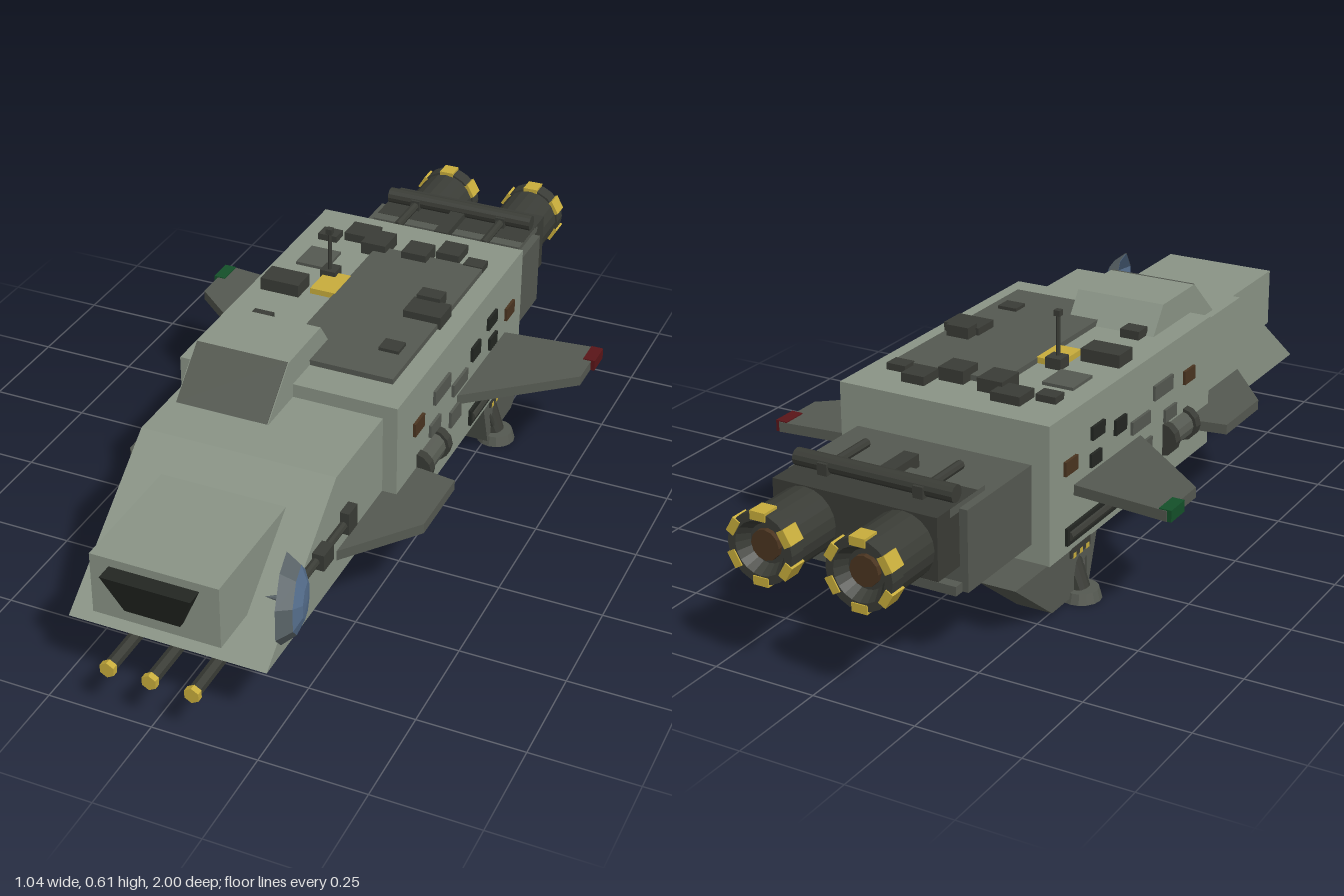
import * as THREE from 'three';

const mat = (color, side = THREE.FrontSide) =>
  new THREE.MeshStandardMaterial({ color, side, flatShading: true });
const HULL = mat(0x8a9486), MID = mat(0x555951), DARK = mat(0x3a3c36), BLACK = mat(0x232622),
  GOLD = mat(0xc8ad3c), BLUE = mat(0x566f8e, THREE.DoubleSide), RIM = mat(0x5a6468, THREE.DoubleSide),
  RED = mat(0x5a1518), GREEN = mat(0x14502a), RUST = mat(0x4a3420);

export function createModel() {
  const root = new THREE.Group();
  root.name = 'gunship';

  const add = (name, geo, material, x = 0, y = 0, z = 0, parent = root) => {
    const m = new THREE.Mesh(geo, material);
    m.name = name;
    m.position.set(x, y, z);
    parent.add(m);
    return m;
  };
  const box = (name, material, x, y, z, w, h, d, parent) =>
    add(name, new THREE.BoxGeometry(w, h, d), material, x, y, z, parent);
  const extrude = (pts, depth) => {
    const g = new THREE.ExtrudeGeometry(
      new THREE.Shape(pts.map(([a, b]) => new THREE.Vector2(a, b))), { depth, bevelEnabled: false });
    return g.translate(0, 0, -depth / 2);
  };
  // side profile of [z, y] points, given a width along x
  const profile = (name, material, pts, width, x = 0) =>
    add(name, extrude(pts, width).rotateY(-Math.PI / 2), material, x);
  // plan outline of [x, z] points, given a thickness along y
  const plan = (name, material, pts, thick, y) =>
    add(name, extrude(pts, thick).rotateX(Math.PI / 2), material, 0, y);
  // round bar between two points
  const rod = (name, material, a, b, r0, r1 = r0, sides = 12) => {
    const p = new THREE.Vector3(...a), q = new THREE.Vector3(...b);
    const m = add(name, new THREE.CylinderGeometry(r1, r0, p.distanceTo(q), sides), material);
    m.position.copy(p).add(q).multiplyScalar(0.5);
    m.quaternion.setFromUnitVectors(new THREE.Vector3(0, 1, 0), q.sub(p).normalize());
    return m;
  };

  // hull
  box('mainHull', HULL, 0, 0.302, -0.08, 0.54, 0.333, 0.8);
  profile('noseHull', HULL, [[0.32, 0.165], [0.92, 0.165], [0.57, 0.435], [0.32, 0.435]], 0.47);
  profile('upperCabin', HULL, [[0.12, 0.46], [0.12, 0.468], [0.17, 0.535], [0.34, 0.535],
    [0.45, 0.435], [0.45, 0.42], [0.12, 0.42]], 0.23, -0.1);
  profile('cabinWindscreen', MID, [[0.45, 0.437], [0.34, 0.537], [0.335, 0.53], [0.44, 0.43]], 0.226, -0.1);
  profile('bellyWedge', DARK, [[0.5, 0.134], [0.35, 0.17], [0.1, 0.17], [0.1, 0.13]], 0.33);
  box('bellyPlate', DARK, 0, 0.133, 0.22, 0.33, 0.01, 0.3);

  // cockpit
  box('cockpit', HULL, 0, 0.305, 0.795, 0.3, 0.15, 0.32);
  const pane = add('cockpitWindow',
    extrude([[-0.105, 0.36], [-0.065, 0.268], [0.065, 0.268], [0.105, 0.36]], 0.035), BLACK, 0, 0, 0.965);
  const pp = pane.geometry.attributes.position;
  for (let i = 0; i < pp.count; i++) {
    if (pp.getZ(i) > 0) pp.setZ(i, pp.getY(i) > 0.3 ? 0.03 : 0.005);
  }
  pane.geometry.computeVertexNormals();
  box('cockpitSensor', DARK, -0.075, 0.22, 0.87, 0.012, 0.012, 0.02);

  // guns under the nose
  for (const x of [-0.1, 0, 0.1]) {
    rod('gunBarrel', DARK, [x, 0.12, 0.745], [x, 0.12, 0.99], 0.015, 0.015, 6);
    rod('gunMuzzle', GOLD, [x, 0.12, 0.985], [x, 0.12, 1], 0.019, 0.019, 6);
    box('gunMount', DARK, x, 0.145, 0.82, 0.025, 0.05, 0.045);
  }

  // wings, fins and side fittings, mirrored
  const sideBoxes = [
    [0.2, 0.357, 0.055, 0.034, RUST], [0.06, 0.373, 0.095, 0.037, MID], [-0.055, 0.325, 0.09, 0.032, MID],
    [-0.157, 0.357, 0.053, 0.037, BLACK], [-0.265, 0.384, 0.058, 0.032, BLACK], [-0.275, 0.32, 0.048, 0.032, BLACK],
    [-0.39, 0.345, 0.055, 0.034, RUST], [-0.03, 0.25, 0.064, 0.043, MID], [0.1, 0.295, 0.06, 0.032, MID],
    [-0.27, 0.178, 0.28, 0.042, BLACK]];
  for (const s of [-1, 1]) {
    const mir = pts => pts.map(([x, z]) => [s * x, z]);
    plan('rearWing', MID, mir([[0.26, -0.37], [0.51, -0.395], [0.51, -0.25], [0.26, -0.04]]), 0.025, 0.278);
    box('wingTipLight', s > 0 ? RED : GREEN, s * 0.505, 0.279, -0.36, 0.03, 0.028, 0.065);
    plan('forwardWing', MID, mir([[0.22, 0.2], [0.27, 0.2], [0.37, 0.215], [0.37, 0.4], [0.235, 0.57], [0.22, 0.57]]),
      0.025, 0.228);
    profile('bellyFin', MID, [[-0.25, 0.137], [-0.29, 0.012], [-0.46, 0.012], [-0.62, 0.137]], 0.09, s * 0.22);
    for (const [z, y, d, h, m] of sideBoxes) box('sidePanel', m, s * 0.271, y, z, 0.012, h, d);
    // side tank with end bands
    rod('sideTank', MID, [s * 0.265, 0.235, 0.08], [s * 0.265, 0.235, 0.19], 0.034);
    for (const z of [0.08, 0.19])
      rod('tankBand', DARK, [s * 0.265, 0.235, z - 0.012], [s * 0.265, 0.235, z + 0.012], 0.042);
    rod('sidePipe', DARK, [s * 0.272, 0.178, -0.4], [s * 0.272, 0.178, -0.14], 0.013, 0.013, 8);

    // engine
    const x = s * 0.122, y = 0.305;
    rod('engineBody', DARK, [x, y, -0.75], [x, y, -0.96], 0.076, 0.076, 20);
    add('engineNozzle', new THREE.LatheGeometry([[0.076, 0], [0.081, 0], [0.081, 0.04], [0.062, 0.04], [0.045, 0.01],
      [0, 0.01]].map(p => new THREE.Vector2(...p)), 20).rotateX(-Math.PI / 2),
    mat(0x3a3c36, THREE.DoubleSide), x, y, -0.953);
    rod('engineCore', RUST, [x, y, -0.955], [x, y, -0.975], 0.035);
    for (let i = 0; i < 6; i++) {
      const a = i * Math.PI / 3 + Math.PI / 6;
      const m = box('hazardStripe', GOLD, x + Math.cos(a) * 0.074, y + Math.sin(a) * 0.074, -0.974, 0.02, 0.038, 0.044);
      m.rotation.z = a;
    }

    // rear landing leg
    rod('rearLeg', DARK, [s * 0.222, 0.135, -0.335], [s * 0.268, 0.02, -0.335], 0.03, 0.024);
    rod('rearLegBrace', DARK, [s * 0.245, 0.135, -0.28], [s * 0.268, 0.035, -0.325], 0.009);
    rod('rearFoot', MID, [s * 0.27, 0, -0.335], [s * 0.27, 0.025, -0.335], 0.049, 0.042, 16);
    box('rearLegCollar', DARK, s * 0.225, 0.125, -0.335, 0.09, 0.025, 0.09);
    for (const dz of [-0.03, 0, 0.03])
      box('legStripe', GOLD, s * 0.225, 0.116, -0.335 + dz, 0.092, 0.012, 0.013);
  }

  // front landing leg
  rod('frontLeg', DARK, [0, 0.135, 0.17], [0, 0.02, 0.235], 0.03, 0.024);
  rod('frontLegBrace', DARK, [0, 0.135, 0.145], [0, 0.03, 0.1], 0.009);
  rod('frontFoot', MID, [0, 0, 0.24], [0, 0.025, 0.24], 0.044, 0.037, 16);
  box('frontLegCollar', DARK, 0, 0.122, 0.18, 0.08, 0.025, 0.09);
  for (const dz of [-0.03, 0, 0.03]) box('legStripe', GOLD, 0, 0.115, 0.18 + dz, 0.082, 0.012, 0.013);
  for (const z of [0.02, -0.05, -0.12]) box('bellyVent', BLACK, 0, 0.128, z, 0.14, 0.02, 0.04);

  // engine section
  box('engineBlock', MID, 0, 0.275, -0.61, 0.45, 0.19, 0.27);
  box('engineBulkhead', DARK, 0, 0.31, -0.75, 0.41, 0.145, 0.16);
  box('enginePlate', MID, 0, 0.19, -0.62, 0.42, 0.022, 0.3);
  box('engineCap', MID, 0, 0.372, -0.71, 0.41, 0.02, 0.14);
  box('engineSpine', DARK, 0, 0.385, -0.67, 0.038, 0.03, 0.13);
  rod('crossPipe', DARK, [-0.2, 0.402, -0.745], [0.2, 0.402, -0.745], 0.02);
  for (const x of [-0.12, 0.12]) {
    box('pipeBracket', DARK, x, 0.385, -0.745, 0.025, 0.05, 0.05);
    rod('fuelLine', DARK, [x, 0.395, -0.6], [x, 0.395, -0.77], 0.011, 0.011, 8);
  }

  // roof plate and fittings: x, z, width, depth, top height
  box('roofPlate', MID, 0.08, 0.472, -0.05, 0.28, 0.02, 0.56);
  for (const [x, z, w, d, top] of [
    [-0.12, -0.38, 0.075, 0.065, 0.49], [-0.06, -0.34, 0.065, 0.075, 0.5], [0.05, -0.33, 0.065, 0.065, 0.5],
    [0.12, -0.38, 0.06, 0.065, 0.49], [-0.195, -0.345, 0.05, 0.04, 0.485], [0.195, -0.345, 0.05, 0.04, 0.485],
    [-0.19, -0.07, 0.1, 0.065, 0.5], [0.18, -0.07, 0.095, 0.07, 0.5], [0.17, -0.12, 0.06, 0.04, 0.51],
    [-0.17, 0.105, 0.05, 0.045, 0.49], [0.165, 0.105, 0.05, 0.045, 0.49], [-0.11, -0.16, 0.04, 0.04, 0.495]])
    box('roofUnit', DARK, x, (top + 0.46) / 2, z, w, top - 0.46, d);
  box('roofPanel', MID, -0.175, 0.47, -0.23, 0.08, 0.012, 0.09);
  box('roofHatch', GOLD, -0.09, 0.473, -0.115, 0.065, 0.02, 0.095);
  rod('antenna', DARK, [-0.11, 0.48, -0.155], [-0.11, 0.595, -0.155], 0.005, 0.005, 8);
  box('antennaTip', DARK, -0.11, 0.598, -0.155, 0.016, 0.014, 0.016);

  // dish on its side boom
  rod('dishBoom', DARK, [0.243, 0.3, 0.5], [0.243, 0.3, 0.78], 0.01, 0.01, 8);
  box('boomBase', DARK, 0.242, 0.305, 0.53, 0.03, 0.055, 0.045);
  box('boomJoint', DARK, 0.248, 0.3, 0.67, 0.03, 0.04, 0.05);
  const dish = new THREE.Group();
  dish.name = 'dish';
  dish.position.set(0.236, 0.3, 0.835);
  dish.rotation.y = 0.25;
  root.add(dish);
  const lathe = pts => new THREE.LatheGeometry(pts.map(p => new THREE.Vector2(...p)), 8, Math.PI / 8)
    .rotateZ(-Math.PI / 2);
  add('dishRim', lathe([[0.1, 0], [0.075, 0.032]]), RIM, 0, 0, 0, dish);
  add('dishBowl', lathe([[0.097, 0], [0.073, 0.03], [0.075, 0.032], [0.04, 0.047], [0, 0.05]]), BLUE, 0, 0, 0, dish);
  add('dishFeed', new THREE.ConeGeometry(0.022, 0.085, 8).rotateZ(Math.PI / 2), RIM, 0.003, 0, 0, dish);

  return root;
}
